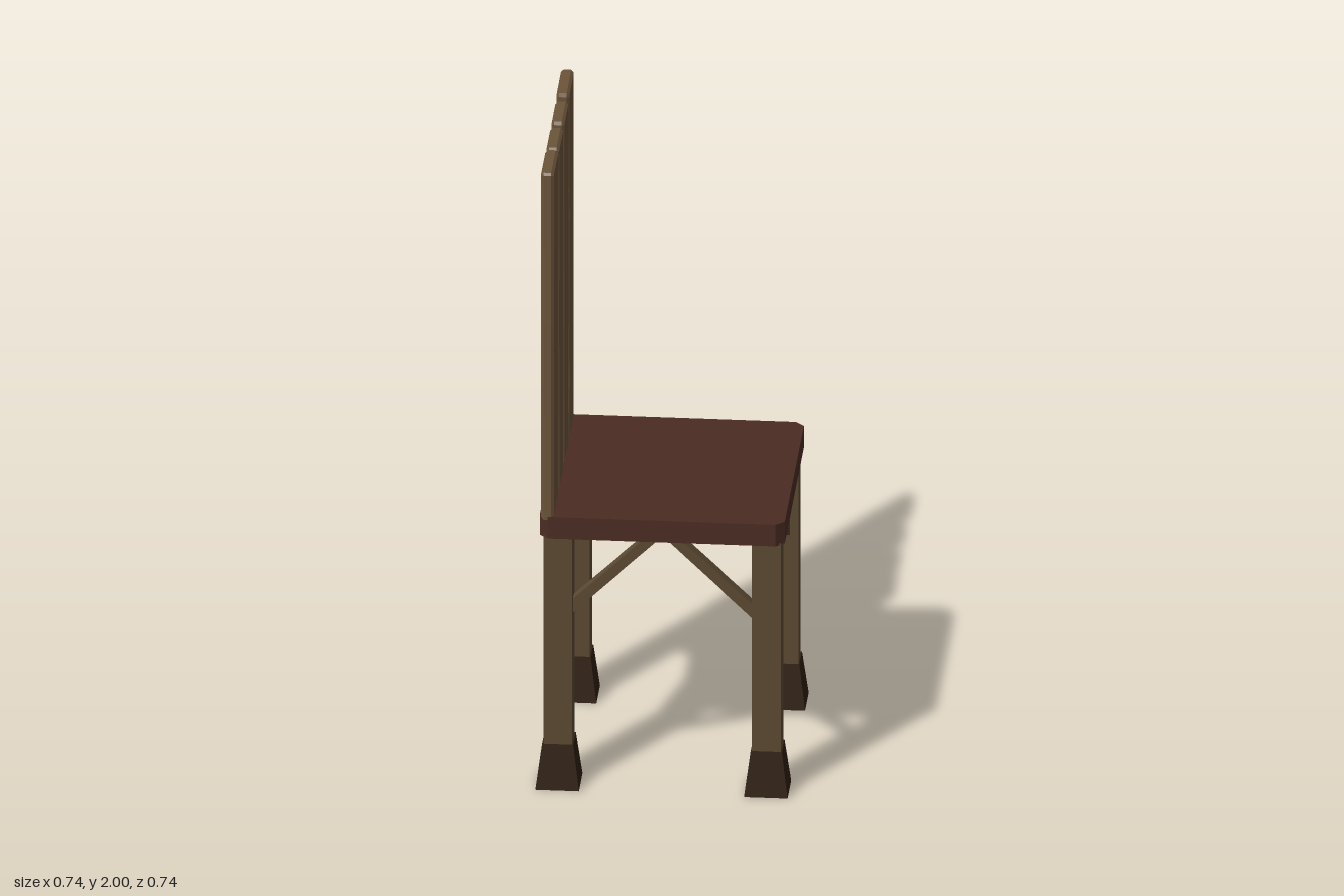
import * as THREE from 'three';

const material = (color) => new THREE.MeshStandardMaterial({ color, flatShading: true });

function shapeOf(points) {
  return new THREE.Shape(points.map(([x, y]) => new THREE.Vector2(x, y)));
}

export function createModel() {
  const chair = new THREE.Group();
  chair.name = 'chair';
  const plankWood = material(0x6b543a);
  const legWood = material(0x5c4933);
  const footWood = material(0x2e1e0f);
  const seatWood = material(0x4a2c22);

  const add = (name, geometry, mat, parent = chair) => {
    const mesh = new THREE.Mesh(geometry, mat);
    mesh.name = name;
    parent.add(mesh);
    return mesh;
  };

  // Seat: square board with clipped corners
  const s = 0.361, c = 0.336;
  const seatShape = shapeOf([[-c, -s], [c, -s], [s, -c], [s, c], [c, s], [-c, s], [-s, c], [-s, -c]]);
  const seatGeo = new THREE.ExtrudeGeometry(seatShape, { depth: 0.07, bevelEnabled: false });
  seatGeo.rotateX(-Math.PI / 2);
  add('seat', seatGeo, seatWood).position.y = 0.81;

  // Legs with flared feet
  const legAt = 0.308;
  const legGeo = new THREE.BoxGeometry(0.085, 0.68, 0.085);
  const footGeo = new THREE.CylinderGeometry(0.046 * Math.SQRT2, 0.064 * Math.SQRT2, 0.14, 4);
  footGeo.rotateY(Math.PI / 4);
  for (const x of [-1, 1]) {
    for (const z of [-1, 1]) {
      const leg = new THREE.Group();
      leg.name = `${z > 0 ? 'front' : 'back'}${x > 0 ? 'Left' : 'Right'}Leg`;
      leg.position.set(x * legAt, 0, z * legAt);
      add('post', legGeo, legWood, leg).position.y = 0.475;
      add('foot', footGeo, footWood, leg).position.y = 0.07;
      chair.add(leg);
    }
  }

  // Diagonal braces: a pair under each side of the seat
  const braceShape = shapeOf([[0.27, 0.553], [0.27, 0.598], [0.045, 0.812], [0.002, 0.812]]);
  const braceGeo = new THREE.ExtrudeGeometry(braceShape, { depth: 0.036, bevelEnabled: false });
  braceGeo.translate(0, 0, -0.018);
  for (let side = 0; side < 4; side++) {
    const pair = new THREE.Group();
    pair.name = 'bracePair';
    pair.rotation.y = side * Math.PI / 2;
    for (const turn of [0, Math.PI]) {
      const brace = add('brace', braceGeo, legWood, pair);
      brace.position.z = legAt;
      brace.rotation.y = turn;
    }
    chair.add(pair);
  }

  // Back planks: rough-edged outlines as [z, y], front edge upward then rear edge downward
  const planks = [
    [[0.36, 0.87], [0.357, 1.2], [0.361, 1.5], [0.358, 1.75], [0.361, 1.985], [0.355, 1.992],
      [0.196, 1.992], [0.191, 1.975], [0.192, 1.82], [0.204, 1.66], [0.198, 1.42], [0.194, 1.25], [0.202, 1.1], [0.198, 0.87]],
    [[0.168, 0.87], [0.166, 1.1], [0.17, 1.35], [0.173, 1.48], [0.166, 1.65], [0.17, 1.975], [0.163, 1.985],
      [0.026, 1.985], [0.02, 1.97], [0.021, 1.6], [0.027, 1.35], [0.02, 1.1], [0.021, 0.87]],
    [[-0.018, 0.87], [-0.021, 1.1], [-0.013, 1.3], [-0.02, 1.5], [-0.014, 1.7], [-0.015, 1.975], [-0.021, 1.985],
      [-0.16, 1.985], [-0.166, 1.97], [-0.163, 1.7], [-0.167, 1.4], [-0.16, 1.15], [-0.165, 0.87]],
    [[-0.195, 0.87], [-0.204, 1.08], [-0.196, 1.25], [-0.194, 1.42], [-0.203, 1.6], [-0.196, 1.76], [-0.19, 1.985], [-0.195, 1.997],
      [-0.352, 2], [-0.358, 1.99], [-0.358, 1.8], [-0.346, 1.6], [-0.352, 1.4], [-0.344, 1.2], [-0.356, 1.02], [-0.357, 0.87]],
  ];
  const back = new THREE.Group();
  back.name = 'backrest';
  for (const outline of planks) {
    const plankGeo = new THREE.ExtrudeGeometry(shapeOf(outline), {
      depth: 0.022, bevelThickness: 0.008, bevelSize: 0.007, bevelOffset: -0.007, bevelSegments: 1,
    });
    plankGeo.rotateY(-Math.PI / 2);
    add('backPlank', plankGeo, plankWood, back).position.x = -0.327;
  }
  chair.add(back);

  return chair;
}
